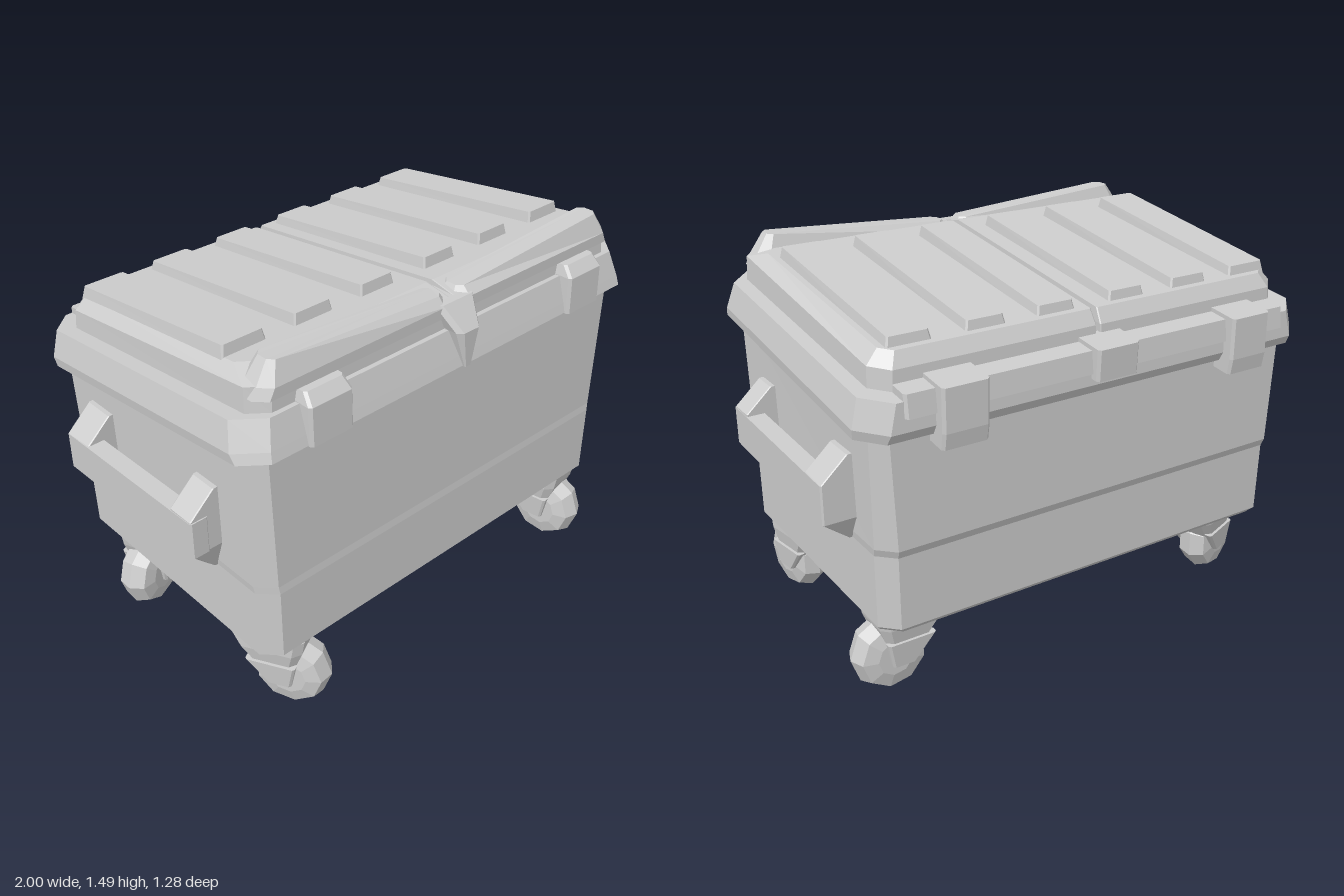
import * as THREE from 'three';

const grey = new THREE.MeshStandardMaterial({ color: 0xcccccc, flatShading: true });
grey.name = 'grey';

// One cross-section: a rectangle with cut corners, tilted along z
function ring([x0, x1, z0, z1, cut, y, slope = 0, inner = cut], side) {
  let cl = inner, cr = cut;
  if (side < 0) { [x0, x1] = [-x1, -x0]; [cl, cr] = [cut, inner]; }
  return [
    [x1, z0 + cr], [x1, z1 - cr], [x1 - cr, z1], [x0 + cl, z1],
    [x0, z1 - cl], [x0, z0 + cl], [x0 + cl, z0], [x1 - cr, z0],
  ].map(([x, z]) => [x, y + slope * z, z]);
}

// Closed solid through cross-sections listed from bottom to top
function loft(name, sections, side = 1) {
  const rings = sections.map((s) => ring(s, side));
  const pos = [];
  const tri = (a, b, c) => pos.push(...a, ...b, ...c);
  const n = 8, last = rings[rings.length - 1];
  for (let k = 0; k < rings.length - 1; k++) {
    for (let i = 0; i < n; i++) {
      const j = (i + 1) % n, lo = rings[k], hi = rings[k + 1];
      tri(lo[i], hi[i], hi[j]);
      tri(lo[i], hi[j], lo[j]);
    }
  }
  for (let i = 1; i < n - 1; i++) {
    tri(rings[0][0], rings[0][i], rings[0][i + 1]);
    tri(last[0], last[i + 1], last[i]);
  }
  const g = new THREE.BufferGeometry();
  g.setAttribute('position', new THREE.Float32BufferAttribute(pos, 3));
  g.computeVertexNormals();
  const mesh = new THREE.Mesh(g, grey);
  mesh.name = name;
  return mesh;
}

// Swivelling wheel with its fork
function caster(x, z, yaw) {
  const g = new THREE.Group();
  g.name = 'caster';
  const profile = [[0, -0.07], [0.07, -0.07], [0.125, -0.055], [0.147, 0], [0.125, 0.055], [0.07, 0.07], [0, 0.07]];
  const wheel = new THREE.Mesh(
    new THREE.LatheGeometry(profile.map(([a, b]) => new THREE.Vector2(a, b)), 9), grey);
  wheel.name = 'wheel';
  wheel.rotation.z = Math.PI / 2;
  wheel.position.set(0, 0.147, 0.07);
  g.add(wheel);
  g.add(loft('fork', [
    [-0.085, 0.085, -0.06, 0.1, 0.02, 0.2],
    [-0.1, 0.1, -0.12, 0.13, 0.03, 0.28],
    [-0.1, 0.1, -0.15, 0.14, 0.03, 0.34],
  ]));
  for (const s of [-1, 1]) {
    g.add(loft('forkLeg', [
      [0.065, 0.09, 0.0, 0.09, 0.008, 0.12],
      [0.065, 0.1, -0.08, 0.11, 0.008, 0.22],
    ], s));
  }
  g.position.set(x, 0, z);
  g.rotation.y = yaw;
  return g;
}

export function createModel() {
  const model = new THREE.Group();
  model.name = 'wheeledBin';

  // Container, with a shallow step round the lower walls
  model.add(loft('body', [
    [-0.85, 0.85, -0.51, 0.555, 0.06, 0.32],
    [-0.87, 0.87, -0.54, 0.58, 0.06, 0.35],
    [-0.873, 0.873, -0.545, 0.578, 0.06, 0.63],
    [-0.877, 0.877, -0.557, 0.575, 0.06, 0.66],
    [-0.885, 0.885, -0.56, 0.57, 0.05, 1.16, 0.115],
  ]));
  model.add(loft('rim', [
    [-0.935, 0.935, -0.585, 0.615, 0.08, 1.132, 0.115],
    [-0.94, 0.94, -0.605, 0.605, 0.09, 1.17, 0.115],
    [-0.915, 0.915, -0.6, 0.575, 0.09, 1.272, 0.115],
  ]));

  for (const s of [-1, 1]) {
    // Lid half, outer corners cut, thin seam in the middle
    model.add(loft('lidHalf', [
      [0.008, 0.86, -0.53, 0.555, 0.06, 1.262, 0.125, 0.004],
      [0.008, 0.855, -0.525, 0.55, 0.06, 1.352, 0.135, 0.004],
      [0.012, 0.81, -0.495, 0.43, 0.04, 1.395, 0.125, 0.004],
    ], s));

    // Raised front lip, higher toward the outer corner
    const lip = loft('lidLip', [
      [0.02, 0.85, 0.41, 0.56, 0.04, 1.38],
      [0.02, 0.83, 0.42, 0.56, 0.04, 1.42],
      [0.04, 0.78, 0.45, 0.53, 0.02, 1.495],
    ], s);
    const p = lip.geometry.attributes.position;
    for (let i = 0; i < p.count; i++) {
      if (p.getY(i) > 1.45 && Math.abs(p.getX(i)) < 0.3) p.setY(i, 1.45);
    }
    lip.geometry.computeVertexNormals();
    model.add(lip);

    // Side handle: two brackets and a bar
    for (const [z0, z1, dy] of [[0.25, 0.36, 0], [-0.38, -0.25, -0.025]]) {
      const mid = (z0 + z1) / 2;
      model.add(loft('handleBracket', [
        [0.865, 0.885, mid - 0.012, mid + 0.012, 0.002, 0.63],
        [0.865, 0.998, z0, z1, 0.004, 0.755 + dy],
        [0.865, 0.998, z0, z1, 0.004, 0.9 + dy],
        [0.865, 0.9, z0, z1, 0.004, 0.99 + dy],
      ], s));
    }
    model.add(loft('handleBar', [
      [0.93, 1.0, -0.38, 0.365, 0.006, 0.742, 0.03],
      [0.93, 1.0, -0.38, 0.365, 0.006, 0.886, 0.03],
    ], s));

    // Front latch tab and rear outer hinge
    model.add(loft('frontTab', [
      [0.53, 0.71, 0.54, 0.63, 0.01, 1.2],
      [0.53, 0.71, 0.54, 0.625, 0.01, 1.34],
      [0.54, 0.7, 0.52, 0.59, 0.01, 1.38],
    ], s));
    model.add(loft('outerHinge', [
      [0.515, 0.69, -0.64, -0.55, 0.01, 1.1, 0.12],
      [0.515, 0.69, -0.65, -0.52, 0.01, 1.16, 0.12],
      [0.515, 0.69, -0.65, -0.51, 0.01, 1.315, 0.12],
    ], s));
    // Lid hinge rail between the hinges
    model.add(loft('hingeRail', [
      [0.06, 0.8, -0.615, -0.52, 0.01, 1.22, 0.12],
      [0.06, 0.8, -0.605, -0.52, 0.01, 1.3, 0.12],
    ], s));
  }

  // Middle hinge and middle front clasp
  model.add(loft('middleHinge', [
    [-0.09, 0.085, -0.64, -0.54, 0.01, 1.2, 0.12],
    [-0.09, 0.085, -0.645, -0.51, 0.01, 1.315, 0.12],
  ]));
  model.add(loft('middleClasp', [
    [-0.015, 0.015, 0.58, 0.625, 0.004, 1.2],
    [-0.055, 0.055, 0.54, 0.63, 0.02, 1.34],
    [-0.09, 0.09, 0.43, 0.56, 0.02, 1.43],
  ]));

  // Raised ribs along the lid
  for (const [x0, x1] of [[-0.82, -0.64], [-0.53, -0.36], [-0.24, -0.08], [0.06, 0.22], [0.34, 0.5], [0.62, 0.79]]) {
    const rib = loft('lidRib', [
      [x0, x1, -0.475, 0.345, 0.006, 1.38, 0.125],
      [x0 + 0.01, x1 - 0.01, -0.465, 0.335, 0.006, 1.432, 0.135],
    ]);
    model.add(rib);
  }

  // Wheels, each swivelled differently
  model.add(caster(0.73, 0.42, 0.15));
  model.add(caster(-0.72, 0.42, 0.5));
  model.add(caster(0.7, -0.34, Math.PI / 2));
  model.add(caster(-0.7, -0.34, -1.2));

  return model;
}
